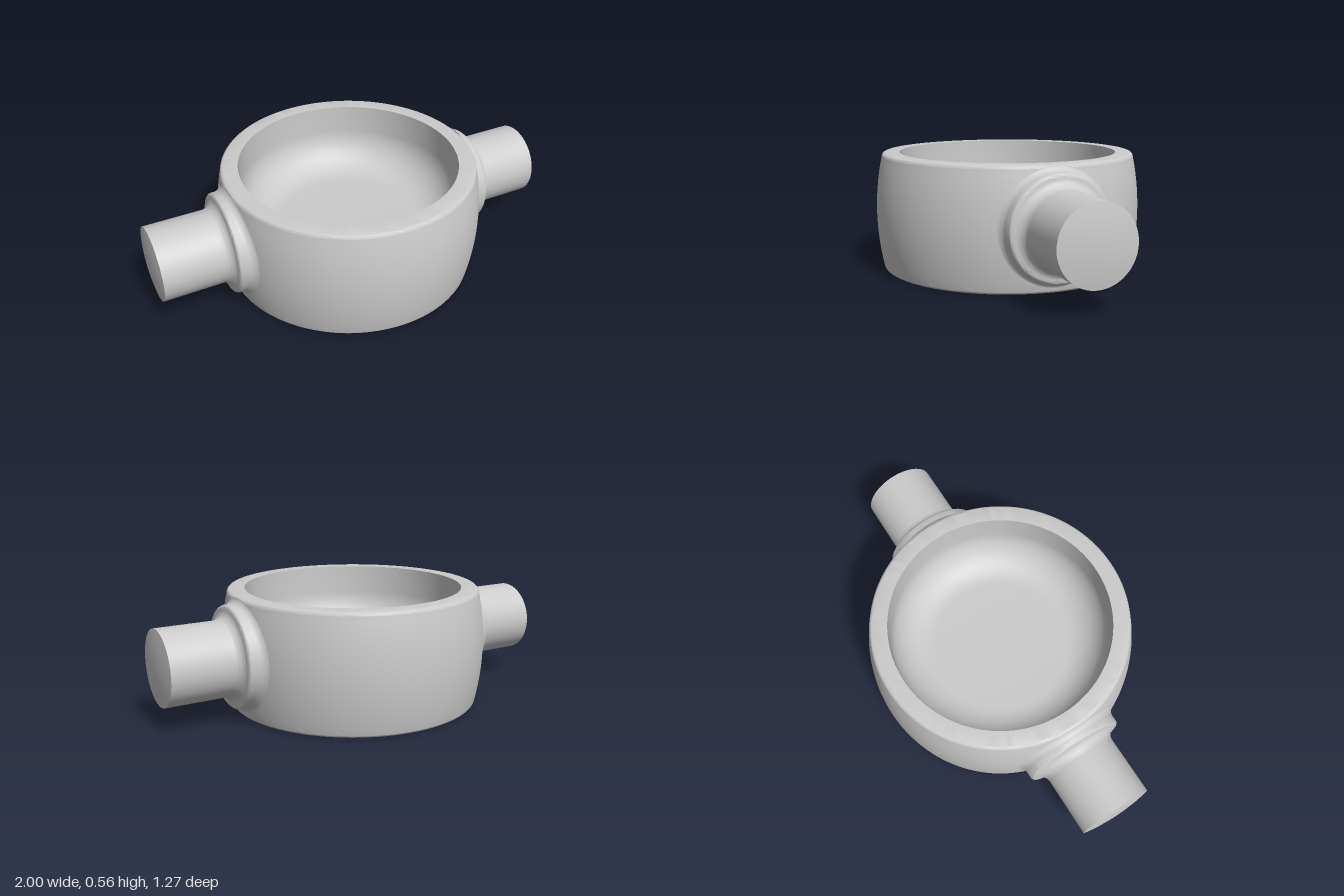
import * as THREE from 'three';
import { toCreasedNormals } from 'three/addons/utils/BufferGeometryUtils.js';

const H = 0.556;          // ring height
const AXIS_Y = 0.287;     // height of the trunnion axis
const COLLAR_R = 0.24;
const P = Math.PI;
const v = (x, y) => new THREE.Vector2(x, y);

// Barrel radius of the ring at height y
const barrel = (y) => 0.633 - (y - H / 2) ** 2 * 0.42;

// Points along a circular arc
function arc(cx, cy, r, from, to, n) {
  return Array.from({ length: n + 1 }, (_, i) => {
    const a = from + (to - from) * i / n;
    return v(cx + r * Math.cos(a), cy + r * Math.sin(a));
  });
}

function lathe(points, segments) {
  return toCreasedNormals(new THREE.LatheGeometry(points, segments), 0.7);
}

// Barrel-shaped ring, hollowed from both ends with wide fillets down to a thin web
function bodyGeometry() {
  const bore = 0.52, fillet = 0.19, webLow = 0.2, webHigh = 0.226, round = 0.018;
  const outer = [];
  for (let i = 1; i < 20; i++) {
    const y = round + (H - 2 * round) * i / 20;
    outer.push(v(barrel(y), y));
  }
  return lathe([
    v(0, webLow),
    ...arc(bore - fillet, webLow - fillet, fillet, P / 2, 0, 14),
    v(bore, 0),
    ...arc(barrel(round) - round, round, round, -P / 2, 0, 5),
    ...outer,
    ...arc(barrel(round) - round, H - round, round, 0, P / 2, 5),
    v(bore, H),
    ...arc(bore - fillet, webHigh + fillet, fillet, 0, -P / 2, 14),
    v(0, webHigh),
  ], 128);
}

// Collar, concave shoulder and shaft with a slightly domed end
function trunnionGeometry() {
  const g = lathe([
    v(COLLAR_R, 0.56),
    ...arc(COLLAR_R - 0.018, 0.641, 0.018, 0, P / 2, 6),
    ...arc(0.222, 0.706, 0.047, -P / 2, -P, 10).slice(1),
    v(0.175, 0.984),
    v(0.12, 0.993), v(0.06, 0.998), v(0, 1),
  ], 64);
  return g.rotateZ(-P / 2);
}

// Concave blend following the barrel surface around the collar
function blendGeometry() {
  const rings = 8, sides = 96, size = 0.028, pos = [], idx = [];
  for (let j = 0; j <= rings; j++) {
    const t = j / rings * P / 2;
    const r = COLLAR_R + size * (1 - Math.cos(t));
    const lift = size * (1 - Math.sin(t));
    for (let i = 0; i <= sides; i++) {
      const a = i / sides * P * 2;
      const y = r * Math.cos(a), z = r * Math.sin(a);
      pos.push(Math.sqrt(barrel(y + AXIS_Y) ** 2 - z * z) + lift - 0.001, y, z);
      if (j < rings && i < sides) {
        const p = j * (sides + 1) + i, q = p + sides + 1;
        idx.push(p, q, p + 1, q, q + 1, p + 1);
      }
    }
  }
  const g = new THREE.BufferGeometry();
  g.setAttribute('position', new THREE.Float32BufferAttribute(pos, 3));
  g.setIndex(idx);
  g.computeVertexNormals();
  return g;
}

export function createModel() {
  const model = new THREE.Group();
  model.name = 'trunnionRing';
  const grey = new THREE.MeshStandardMaterial({ color: 0xcccccc });
  const thin = new THREE.MeshStandardMaterial({ color: 0xcccccc, side: THREE.DoubleSide });
  const add = (parent, name, geometry, material) => {
    const mesh = new THREE.Mesh(geometry, material);
    mesh.name = name;
    parent.add(mesh);
  };

  add(model, 'ringBody', bodyGeometry(), grey);

  // One trunnion on each side, turned half round for the right
  const shaft = trunnionGeometry(), blend = blendGeometry();
  for (const side of ['left', 'right']) {
    const trunnion = new THREE.Group();
    trunnion.name = side + 'Trunnion';
    trunnion.position.y = AXIS_Y;
    if (side === 'right') trunnion.rotation.y = P;
    add(trunnion, side + 'Shaft', shaft, grey);
    add(trunnion, side + 'CollarBlend', blend, thin);
    model.add(trunnion);
  }
  return model;
}
